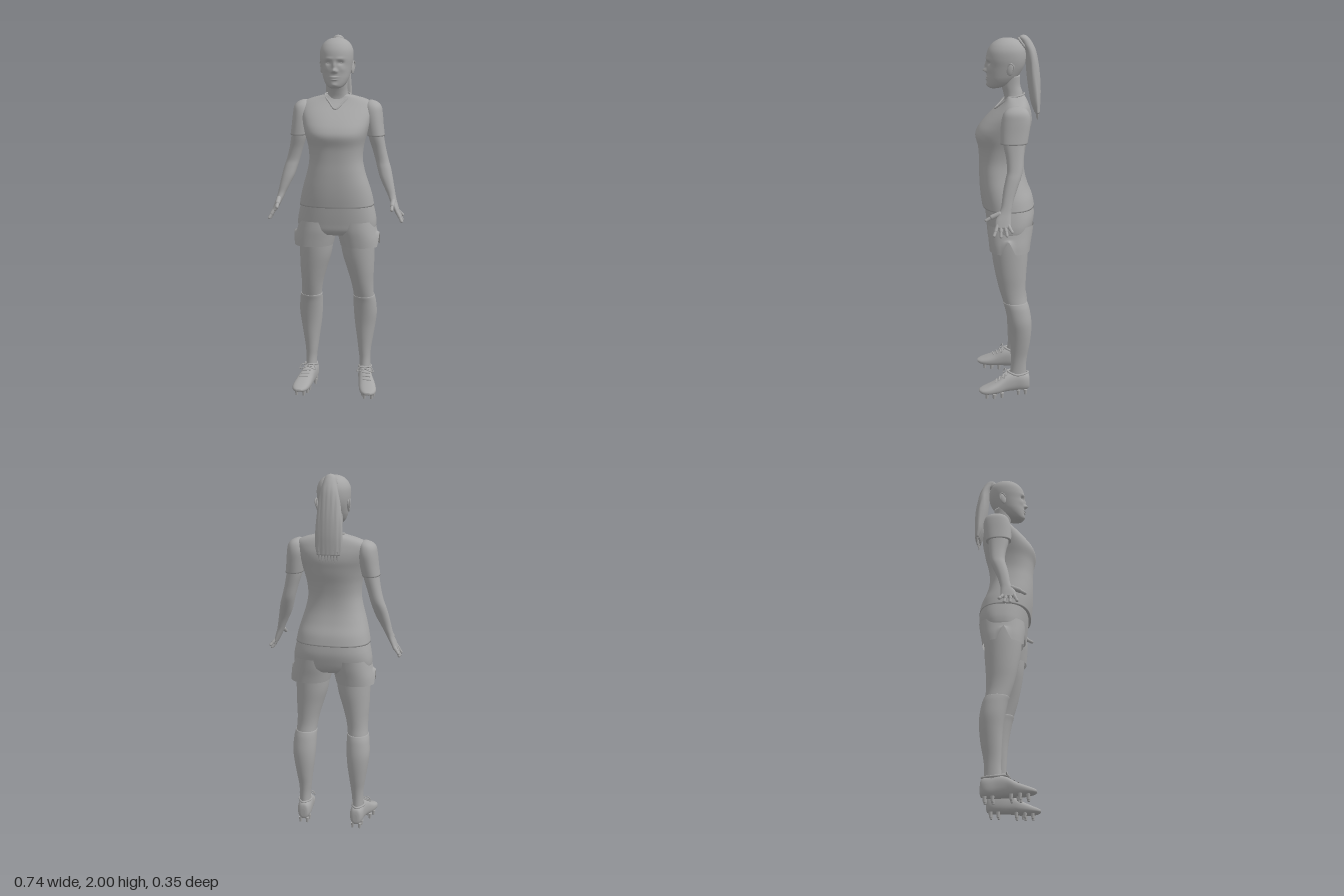
import * as THREE from 'three';

const grey = new THREE.MeshStandardMaterial({ color: 0xa6a6a6, side: THREE.DoubleSide });
grey.name = 'grey';

// Smooth skin through sections [y, centreX, halfWidth, backZ, frontZ], listed from the bottom up
function loft(sections, { seg = 40, steps = 5, power = 2.2, caps = true, warp = null } = {}) {
  const rows = [], pos = [], idx = [], n = sections.length;
  for (let i = 0; i < n - 1; i++) {
    const [a, b, c, d] = [-1, 0, 1, 2].map((k) => sections[Math.min(n - 1, Math.max(0, i + k))]);
    for (let k = 0; k < steps; k++) {
      const t = k / steps;
      rows.push(b.map((v, j) => v + 0.5 * t * (c[j] - a[j] +
        t * (2 * a[j] - 5 * v + 4 * c[j] - d[j] + t * (3 * (v - c[j]) + d[j] - a[j])))));
    }
  }
  rows.push(sections[n - 1]);
  const bend = (v) => Math.sign(v) * Math.pow(Math.abs(v), 2 / power);
  const p = new THREE.Vector3();
  const push = (x, y, z) => { p.set(x, y, z); if (warp) warp(p); pos.push(p.x, p.y, p.z); };
  for (const [y, cx, w, zb, zf] of rows) {
    for (let j = 0; j < seg; j++) {
      const a = (j / seg) * Math.PI * 2;
      push(cx + w * bend(Math.cos(a)), y, (zb + zf) / 2 + ((zf - zb) / 2) * bend(Math.sin(a)));
    }
  }
  for (let i = 0; i < rows.length - 1; i++) {
    for (let j = 0; j < seg; j++) {
      const a = i * seg + j, b = i * seg + ((j + 1) % seg);
      idx.push(a, a + seg, b, b, a + seg, b + seg);
    }
  }
  if (caps) {
    for (const [r, up] of [[0, false], [rows.length - 1, true]]) {
      const centre = pos.length / 3, [y, cx, , zb, zf] = rows[r];
      push(cx, y, (zb + zf) / 2);
      for (let j = 0; j < seg; j++) {
        const a = r * seg + j, b = r * seg + ((j + 1) % seg);
        idx.push(...(up ? [centre, b, a] : [centre, a, b]));
      }
    }
  }
  const g = new THREE.BufferGeometry();
  g.setAttribute('position', new THREE.Float32BufferAttribute(pos, 3));
  g.setIndex(idx);
  g.computeVertexNormals();
  return g;
}

function add(parent, name, geometry) {
  const m = new THREE.Mesh(geometry, grey);
  m.name = name;
  parent.add(m);
  return m;
}

// Rounded rod between two points
function rod(parent, name, a, b, r) {
  const from = new THREE.Vector3(...a), to = new THREE.Vector3(...b), dir = to.clone().sub(from);
  const m = add(parent, name, new THREE.CapsuleGeometry(r, dir.length(), 6, 12));
  m.position.copy(from).add(to).multiplyScalar(0.5);
  m.quaternion.setFromUnitVectors(new THREE.Vector3(0, 1, 0), dir.normalize());
}

function tube(parent, name, points, r, closed = false) {
  const curve = new THREE.CatmullRomCurve3(points.map((q) => new THREE.Vector3(...q)), closed);
  add(parent, name, new THREE.TubeGeometry(curve, 48, r, 8, closed));
}

function ball(parent, name, at, size) {
  const m = add(parent, name, new THREE.SphereGeometry(1, 20, 14));
  m.position.set(...at);
  m.scale.set(...size);
  return m;
}

// Face relief: [x, y, depth, spreadX, spreadY]
const relief = [
  [0, 1.818, 0.022, 0.011, 0.010], [0, 1.842, 0.011, 0.008, 0.018],
  [0.013, 1.813, 0.008, 0.006, 0.006], [0.033, 1.858, -0.012, 0.015, 0.010],
  [0.030, 1.880, 0.004, 0.022, 0.007], [0, 1.783, 0.008, 0.018, 0.004],
  [0, 1.771, 0.008, 0.015, 0.004], [0, 1.742, 0.006, 0.018, 0.010], [0.045, 1.825, 0.004, 0.016, 0.016],
];
function shapeFace(p) {
  if (p.z < 0.02) return;
  const { x, y } = p;
  for (const [bx, by, d, sx, sy] of relief)
    p.z += d * Math.exp(-(((Math.abs(x) - bx) / sx) ** 2) - ((y - by) / sy) ** 2);
}

function buildHead(body) {
  const head = new THREE.Group();
  head.name = 'head';
  body.add(head);
  add(head, 'face', loft([
    [1.724, 0, 0.022, 0.055, 0.095], [1.732, 0, 0.04, 0.02, 0.106], [1.75, 0, 0.056, -0.02, 0.111],
    [1.775, 0, 0.068, -0.045, 0.112], [1.80, 0, 0.075, -0.064, 0.112], [1.84, 0, 0.083, -0.086, 0.112],
    [1.88, 0, 0.089, -0.095, 0.115], [1.92, 0, 0.088, -0.093, 0.108], [1.95, 0, 0.076, -0.08, 0.09],
    [1.97, 0, 0.058, -0.06, 0.066], [1.982, 0, 0.036, -0.034, 0.04], [1.987, 0, 0.012, -0.008, 0.014],
  ], { seg: 96, steps: 8, power: 2.1, warp: shapeFace }));
  add(head, 'neck', loft([
    [1.60, 0, 0.07, -0.085, 0.03], [1.66, 0, 0.061, -0.085, 0.018], [1.70, 0, 0.053, -0.078, 0.024],
    [1.74, 0, 0.052, -0.066, 0.036], [1.79, 0, 0.056, -0.064, 0.04]]));
  for (const s of [1, -1]) {
    ball(head, 'eye', [s * 0.033, 1.857, 0.085], [0.013, 0.008, 0.012]);
    ball(head, 'ear', [s * 0.083, 1.83, -0.008], [0.009, 0.034, 0.019]).rotation.set(-0.2, s * -0.3, 0);
    tube(head, 'earRim', [[s * 0.083, 1.80, 0.004], [s * 0.09, 1.825, -0.022], [s * 0.094, 1.852, -0.024],
      [s * 0.089, 1.863, -0.008], [s * 0.083, 1.845, 0.006]], 0.004);
  }
  // Ponytail with ragged tips
  add(head, 'ponytail', loft([
    [1.59, -0.01, 0.062, -0.171, -0.146], [1.64, -0.01, 0.073, -0.174, -0.127], [1.70, -0.01, 0.073, -0.176, -0.115],
    [1.78, -0.01, 0.068, -0.172, -0.104], [1.86, -0.008, 0.058, -0.161, -0.097], [1.92, -0.006, 0.046, -0.148, -0.089],
    [1.96, -0.005, 0.036, -0.13, -0.07], [1.985, -0.005, 0.029, -0.112, -0.06], [1.996, -0.005, 0.017, -0.1, -0.066],
    [2.0, -0.005, 0.005, -0.09, -0.074]],
  { power: 2, warp: (p) => { p.z += 0.0025 * Math.sin(p.x * 260) * THREE.MathUtils.clamp((1.97 - p.y) * 8, 0, 1); } }));
  for (let i = 0; i < 7; i++) {
    const lock = add(head, 'hairTip', new THREE.ConeGeometry(0.012, 0.055 + 0.018 * (i % 2), 10));
    lock.position.set(-0.058 + i * 0.016, 1.583, -0.158);
    lock.rotation.x = Math.PI;
    lock.scale.z = 0.9;
  }
  const tie = add(head, 'hairTie', new THREE.TorusGeometry(0.03, 0.007, 10, 28));
  tie.position.set(-0.003, 1.957, -0.075);
  tie.rotation.x = 0.6;
}

function buildTorso(body) {
  add(body, 'shirt', loft([
    [1.085, 0, 0.205, -0.143, 0.142], [1.14, 0, 0.195, -0.132, 0.15], [1.20, 0, 0.179, -0.108, 0.155],
    [1.27, 0, 0.158, -0.09, 0.157], [1.34, 0, 0.145, -0.087, 0.157], [1.41, 0, 0.15, -0.097, 0.162],
    [1.47, 0, 0.165, -0.112, 0.176], [1.51, 0, 0.176, -0.12, 0.162], [1.55, 0, 0.187, -0.127, 0.13],
    [1.59, 0, 0.197, -0.125, 0.09], [1.625, 0, 0.198, -0.116, 0.052], [1.647, 0, 0.182, -0.108, 0.03],
    [1.664, 0, 0.145, -0.1, 0.016], [1.676, 0, 0.1, -0.093, 0.01], [1.685, 0, 0.062, -0.086, 0.008],
  ], { seg: 64, power: 2.45 }));
  tube(body, 'collar', [[0, 1.612, 0.069], [0.04, 1.648, 0.03], [0.068, 1.678, -0.012], [0.06, 1.689, -0.06],
    [0, 1.692, -0.088], [-0.06, 1.689, -0.06], [-0.068, 1.678, -0.012], [-0.04, 1.648, 0.03]], 0.005, true);
  add(body, 'shorts', loft([
    [0.925, 0, 0.16, -0.1, 0.09], [0.95, 0, 0.21, -0.122, 0.11], [0.99, 0, 0.218, -0.134, 0.117],
    [1.04, 0, 0.211, -0.142, 0.124], [1.095, 0, 0.198, -0.138, 0.13]], { seg: 56, power: 2.5 }));
}

function buildArm(body, s) {
  const arm = new THREE.Group();
  arm.name = s > 0 ? 'leftArm' : 'rightArm';
  body.add(arm);
  const side = (list) => list.map(([y, x, ...rest]) => [y, x * s, ...rest]);
  add(arm, 'sleeve', loft(side([
    [1.465, 0.212, 0.047, -0.09, 0.05], [1.52, 0.203, 0.049, -0.1, 0.05], [1.58, 0.195, 0.051, -0.107, 0.045],
    [1.62, 0.193, 0.046, -0.1, 0.033], [1.643, 0.188, 0.032, -0.082, 0.01], [1.655, 0.182, 0.01, -0.05, -0.02]])));
  add(arm, 'bareArm', loft(side([
    [1.05, 0.341, 0.012, 0.004, 0.085], [1.085, 0.327, 0.016, 0.002, 0.082], [1.12, 0.313, 0.019, 0.0, 0.064],
    [1.15, 0.303, 0.022, -0.006, 0.052], [1.19, 0.289, 0.028, -0.016, 0.046], [1.24, 0.272, 0.035, -0.034, 0.038],
    [1.29, 0.258, 0.037, -0.053, 0.026], [1.33, 0.246, 0.036, -0.064, 0.018], [1.39, 0.23, 0.037, -0.07, 0.022],
    [1.45, 0.215, 0.041, -0.076, 0.034], [1.50, 0.207, 0.042, -0.08, 0.04]])));
  // Fingers: knuckle z, tip z, tip y
  for (const [k, t, y] of [[0.073, 0.092, 1.014], [0.055, 0.056, 1.008], [0.035, 0.024, 1.012], [0.016, -0.002, 1.032]]) {
    const mid = [s * 0.352, (1.055 + y) / 2 + 0.002, (k + t) / 2];
    rod(arm, 'finger', [s * 0.338, 1.062, k], mid, 0.0095);
    rod(arm, 'fingerTip', mid, [s * 0.364, y, t], 0.008);
  }
  rod(arm, 'thumb', [s * 0.315, 1.118, 0.06], [s * 0.314, 1.1, 0.1], 0.013);
  rod(arm, 'thumbTip', [s * 0.314, 1.1, 0.1], [s * 0.313, 1.082, 0.13], 0.009);
}

function buildLeg(body, s) {
  const leg = new THREE.Group();
  leg.name = s > 0 ? 'leftLeg' : 'rightLeg';
  body.add(leg);
  const side = (list) => list.map(([y, x, ...rest]) => [y, x * s, ...rest]);
  // Shorts leg with a notch cut up its outer hem
  add(leg, 'shortsLeg', loft(side([
    [0.858, 0.13, 0.109, -0.112, 0.107], [0.90, 0.122, 0.111, -0.118, 0.111], [0.95, 0.111, 0.109, -0.127, 0.115],
    [1.0, 0.105, 0.103, -0.134, 0.114]]), {
    seg: 96, caps: false,
    warp: (p) => {
      if (p.x * s > 0.17 && p.y < 0.94) p.y += (0.94 - p.y) * Math.max(0, 1 - Math.abs(p.z - 0.01) / 0.04);
    },
  }));
  add(leg, 'thigh', loft(side([
    [0.53, 0.151, 0.058, -0.1, 0.022], [0.56, 0.149, 0.057, -0.095, 0.033], [0.60, 0.145, 0.058, -0.09, 0.046],
    [0.65, 0.14, 0.063, -0.09, 0.06], [0.72, 0.132, 0.075, -0.094, 0.076], [0.80, 0.121, 0.088, -0.101, 0.09],
    [0.88, 0.115, 0.094, -0.105, 0.098], [0.96, 0.11, 0.095, -0.11, 0.1]]), { power: 2.05 }));
  add(leg, 'sock', loft(side([
    [0.09, 0.156, 0.032, -0.095, 0.005], [0.17, 0.155, 0.031, -0.094, -0.008], [0.23, 0.153, 0.036, -0.1, -0.008],
    [0.30, 0.154, 0.046, -0.113, -0.005], [0.38, 0.155, 0.058, -0.122, 0.0], [0.45, 0.156, 0.065, -0.122, 0.01],
    [0.52, 0.153, 0.064, -0.111, 0.024], [0.553, 0.15, 0.061, -0.101, 0.034], [0.56, 0.15, 0.058, -0.097, 0.034]]),
  { power: 2.05 }));
  // Shoe sections run heel to toe: [z, x, halfWidth, -top, -bottom]
  add(leg, 'shoe', loft(side([
    [-0.115, 0.154, 0.012, -0.09, -0.045], [-0.108, 0.154, 0.028, -0.12, -0.03], [-0.08, 0.155, 0.038, -0.132, -0.024],
    [-0.03, 0.157, 0.038, -0.138, -0.022], [0.02, 0.166, 0.04, -0.127, -0.022], [0.07, 0.18, 0.047, -0.095, -0.02],
    [0.12, 0.19, 0.047, -0.072, -0.022], [0.155, 0.194, 0.035, -0.058, -0.028], [0.173, 0.194, 0.015, -0.05, -0.036]]),
  { power: 2.4 }).rotateX(Math.PI / 2));
  tube(leg, 'shoeCollar', [[s * 0.157, 0.142, 0.012], [s * 0.192, 0.128, -0.04], [s * 0.156, 0.13, -0.106],
    [s * 0.122, 0.128, -0.04]], 0.006, true);
  // Laces and bow
  for (let i = 0; i < 4; i++) {
    const z = 0.015 + i * 0.02, y = 0.134 - i * 0.013, x = 0.166 + i * 0.005;
    rod(leg, 'lace', [s * (x - 0.02), y - 0.004, z], [s * (x + 0.02), y - 0.004, z + 0.006], 0.004);
  }
  for (const d of [1, -1]) {
    tube(leg, 'laceLoop', [[s * 0.166, 0.136, 0.02], [s * (0.166 + d * 0.03), 0.146, 0.024],
      [s * (0.166 + d * 0.046), 0.122, 0.032], [s * (0.166 + d * 0.022), 0.128, 0.036]], 0.003, true);
  }
  // Studs: x, z
  for (const [x, z] of [[0.135, -0.09], [0.175, -0.09], [0.134, -0.05], [0.178, -0.05], [0.152, 0.045],
    [0.208, 0.045], [0.158, 0.09], [0.22, 0.09], [0.172, 0.13], [0.213, 0.13], [0.188, 0.08]]) {
    const stud = add(leg, 'stud', new THREE.CylinderGeometry(0.011, 0.007, 0.03, 12));
    stud.position.set(s * x, 0.015, z);
  }
}

export function createModel() {
  const body = new THREE.Group();
  body.name = 'footballPlayer';
  buildHead(body);
  buildTorso(body);
  for (const s of [1, -1]) {
    buildArm(body, s);
    buildLeg(body, s);
  }
  return body;
}
